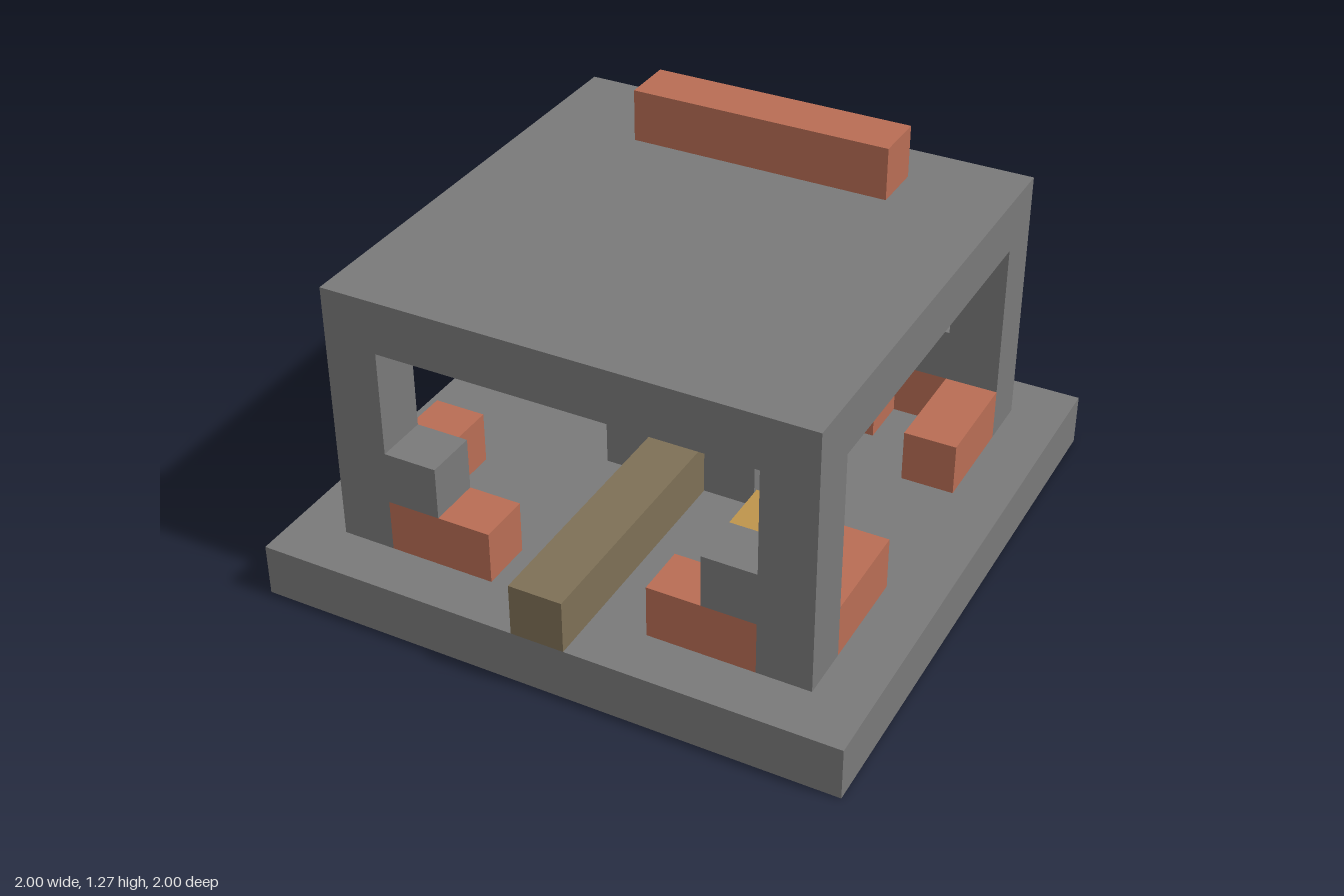
import * as THREE from 'three';

const U = 2 / 11; // one block

export function createModel() {
  const model = new THREE.Group();
  model.name = 'blockPavilion';

  const mat = (name, color) => {
    const m = new THREE.MeshStandardMaterial({ color });
    m.name = name;
    return m;
  };
  const stone = mat('grey stone', 0x797979);
  const brick = mat('red brick', 0xb86d54);
  const gold = mat('gold', 0xbe944c);
  const wood = mat('dull brown path', 0x7e7056);

  // Box covering block cells from a to b inclusive; layer 0 rests on the ground
  const blocks = (name, material, a, b = a) => {
    const size = a.map((v, i) => (b[i] - v + 1) * U);
    const mesh = new THREE.Mesh(new THREE.BoxGeometry(...size), material);
    mesh.position.set((a[0] + b[0]) / 2 * U, ((a[1] + b[1]) / 2 + 0.5) * U, (a[2] + b[2]) / 2 * U);
    mesh.name = name;
    model.add(mesh);
  };

  // Base, roof and roof ridge
  blocks('base', stone, [-5, 0, -5], [5, 0, 5]);
  blocks('roof', stone, [-4, 5, -4], [4, 5, 4]);
  blocks('roofRidge', brick, [-2, 6, -3], [2, 6, -3]);

  // Corner columns with low brick walls and stone steps
  for (const x of [-1, 1]) {
    for (const z of [-1, 1]) {
      blocks('cornerColumn', stone, [4 * x, 1, 4 * z], [4 * x, 4, 4 * z]);
      blocks('columnStep', stone, [3 * x, 2, 4 * z]);
      blocks('endWall', brick, [x > 0 ? 2 : -3, 1, 4 * z], [x > 0 ? 3 : -2, 1, 4 * z]);
      blocks('sideWall', brick, [4 * x, 1, z > 0 ? 2 : -3], [4 * x, 1, z > 0 ? 3 : -2]);
    }
    // Inner posts at the back
    blocks('innerPost', brick, [2 * x, 1, -3], [2 * x, 4, -3]);
    // Gold blocks in two opposite corners
    blocks('cornerLamp', gold, [3 * x, 2, 3 * x]);
  }

  // Middle: path, low altar and gold blocks
  blocks('path', wood, [0, 1, 1], [0, 1, 5]);
  blocks('altar', stone, [-1, 1, 0], [1, 1, 0]);
  blocks('hangingLamp', gold, [0, 4, 0]);
  blocks('floorLamp', gold, [0, 1, -3]);

  return model;
}
